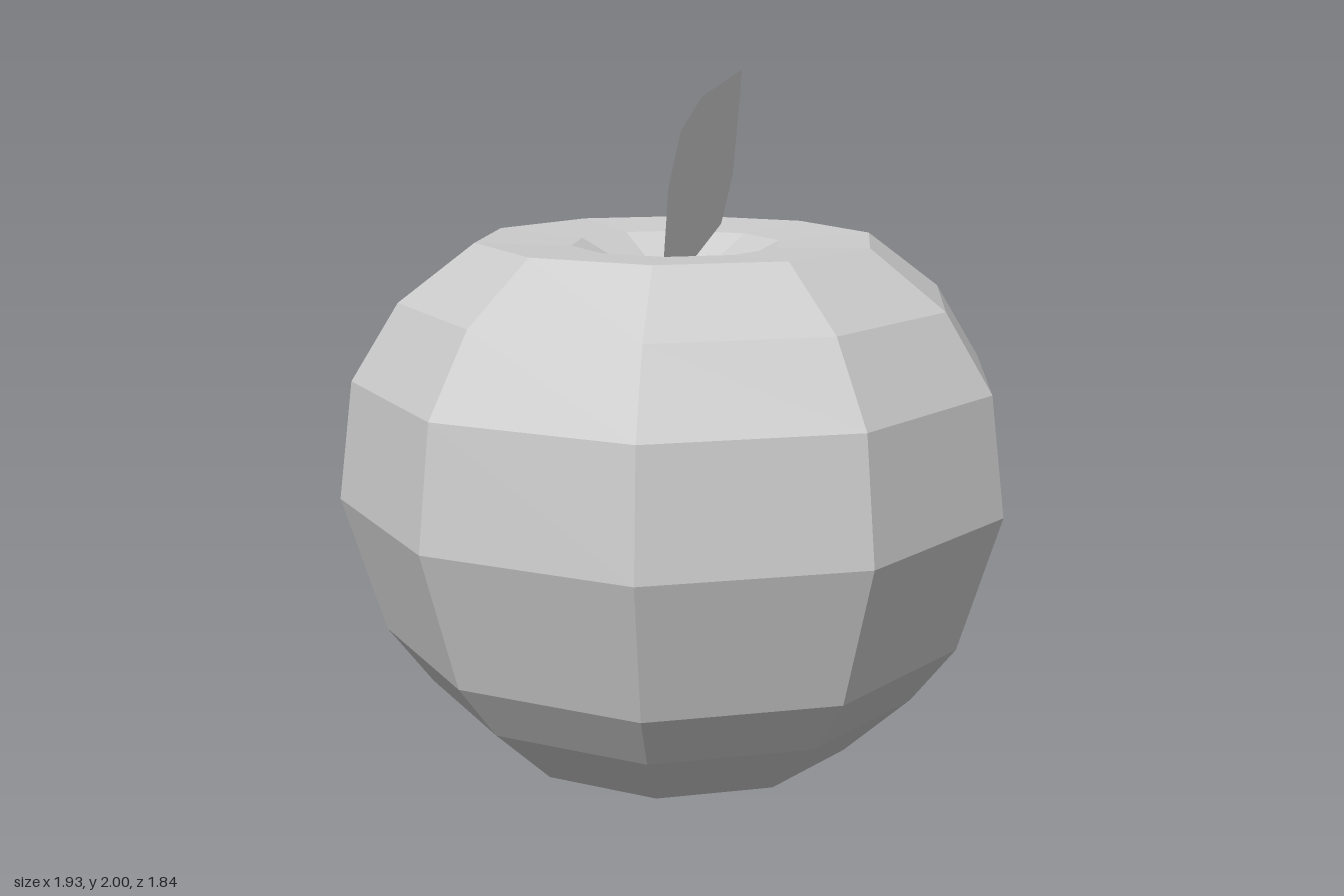
import * as THREE from 'three';

const SIDES = 10;

// Ten-sided turned surface with a corner on the x axis
function turned(name, profile, flatShading) {
  const points = profile.map(([r, y]) => new THREE.Vector2(r, y));
  const geometry = new THREE.LatheGeometry(points, SIDES, Math.PI / 2);
  const material = new THREE.MeshStandardMaterial({ color: 0xcccccc, flatShading });
  const mesh = new THREE.Mesh(geometry, material);
  mesh.name = name;
  return mesh;
}

export function createModel() {
  const model = new THREE.Group();
  model.name = 'apple';

  // Underside with a small dimple in the middle
  model.add(turned('fruitBase', [[0, 0.03], [0.06, 0], [0.28, 0.005], [0.53, 0.08]], false));

  // Faceted body, rim and the hollow at the top
  model.add(turned('fruitBody', [
    [0.53, 0.08], [0.725, 0.27], [0.85, 0.44], [0.965, 0.835], [0.92, 1.17],
    [0.785, 1.385], [0.57, 1.545], [0.3, 1.53], [0, 1.38],
  ], true));

  // Flat upright leaf in the plane x = 0, drawn as (-z, y)
  const outline = [
    [-0.1, 1.42], [0.1, 1.46], [0.33, 1.55], [0.42, 1.69], [0.49, 2],
    [0.18, 1.93], [0.03, 1.84], [-0.055, 1.69],
  ].map(([u, y]) => new THREE.Vector2(u, y));
  const leaf = new THREE.Mesh(
    new THREE.ShapeGeometry(new THREE.Shape(outline)),
    new THREE.MeshStandardMaterial({ color: 0xcccccc, flatShading: true, side: THREE.DoubleSide }),
  );
  leaf.rotation.y = Math.PI / 2;
  leaf.name = 'leaf';
  model.add(leaf);

  return model;
}
